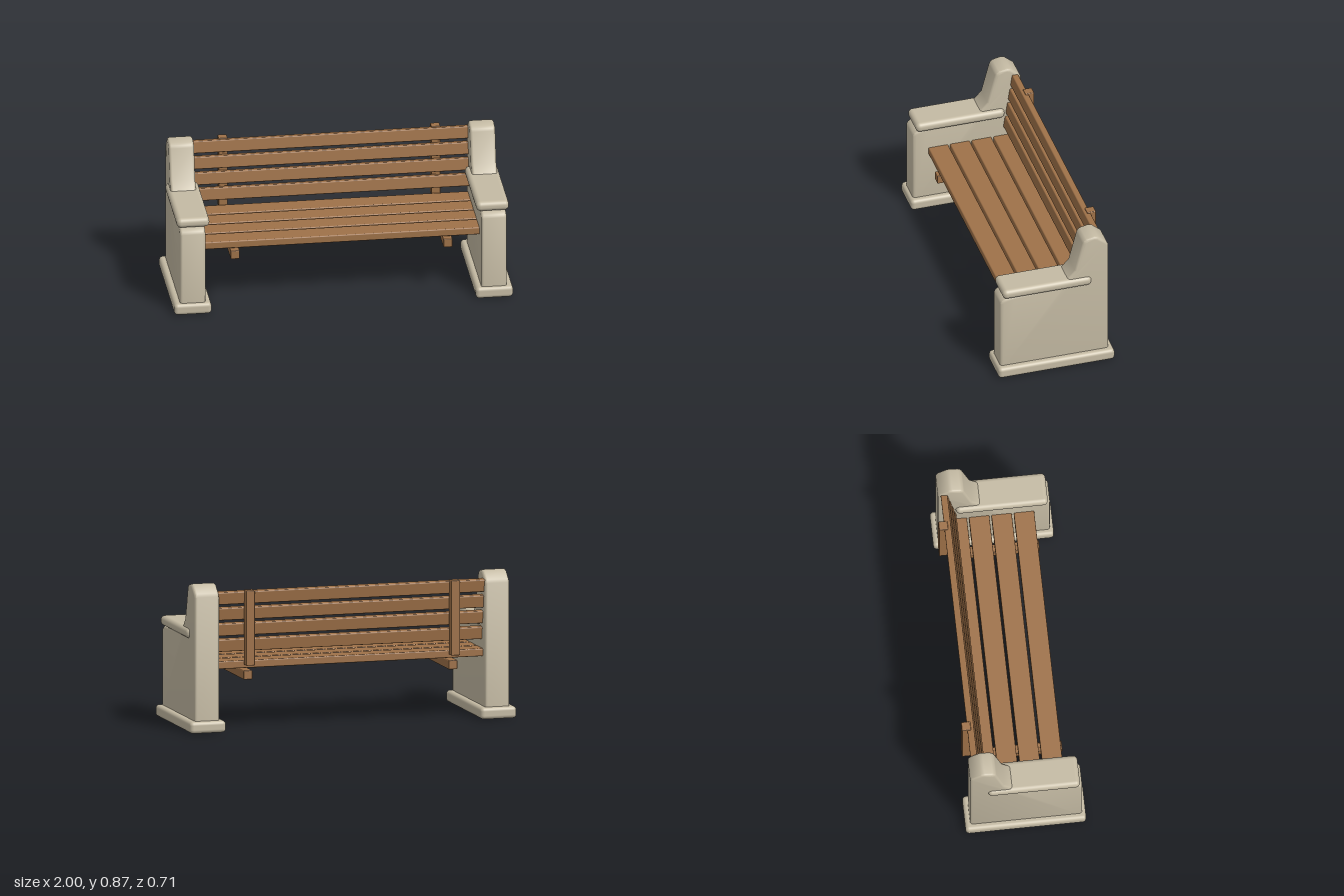
import * as THREE from 'three';
import { toCreasedNormals } from 'three/addons/utils/BufferGeometryUtils.js';
import { RoundedBoxGeometry } from 'three/addons/geometries/RoundedBoxGeometry.js';

export function createModel() {
  const bench = new THREE.Group();
  bench.name = 'bench';
  const stone = new THREE.MeshStandardMaterial({ color: 0xc4baa3 });
  stone.name = 'stone';
  const wood = new THREE.MeshStandardMaterial({ color: 0x9e7148 });
  wood.name = 'wood';

  function add(name, geometry, material, x, y, z) {
    const mesh = new THREE.Mesh(geometry, material);
    mesh.name = name;
    mesh.position.set(x, y, z);
    bench.add(mesh);
    return mesh;
  }
  const box = (w, h, d, r, segments = 3) => new RoundedBoxGeometry(w, h, d, segments, r);

  // Side panel profile, drawn as (z, y)
  const profile = [
    [0.335, 0.04], [0.335, 0.51], [0.327, 0.526], [0.305, 0.541], [0.25, 0.549],
    [-0.03, 0.56], [-0.075, 0.602], [-0.122, 0.655], [-0.169, 0.838], [-0.176, 0.853],
    [-0.192, 0.865], [-0.24, 0.875], [-0.262, 0.871], [-0.316, 0.825], [-0.325, 0.805],
    [-0.325, 0.04],
  ].reverse();
  const shape = new THREE.Shape(profile.map(([z, y]) => new THREE.Vector2(z, y)));
  const width = 0.15, bevel = 0.016;
  const raw = new THREE.ExtrudeGeometry(shape, {
    depth: width - 2 * bevel, bevelEnabled: true, bevelThickness: bevel,
    bevelSize: bevel, bevelOffset: -bevel, bevelSegments: 3,
  });
  raw.translate(0, 0, -(width / 2 - bevel));
  raw.rotateY(-Math.PI / 2);
  const panel = toCreasedNormals(raw, 0.6);

  // Stone ends and timber supports, mirrored
  const base = box(0.22, 0.07, 0.71, 0.022);
  const arm = box(0.193, 0.06, 0.542, 0.027, 4);
  const bearer = box(0.054, 0.054, 0.54, 0.005, 2);
  const backPost = box(0.054, 0.445, 0.054, 0.005, 2);
  for (const side of [-1, 1]) {
    add('base', base, stone, side * 0.89, 0.037, 0);
    add('sidePanel', panel, stone, side * 0.889, 0, 0);
    add('armrest', arm, stone, side * 0.884, 0.575, 0.05);
    add('seatBearer', bearer, wood, side * 0.628, 0.326, -0.02);
    add('backPost', backPost, wood, side * 0.628, 0.6115, -0.314);
  }

  // Seat slats, front to back
  const seatSlat = box(1.65, 0.046, 0.12, 0.007, 2);
  for (let i = 0; i < 4; i++) add('seatSlat', seatSlat, wood, 0, 0.389, 0.181 - i * 0.132);

  // Leaning backrest slats, bottom to top
  const backSlat = box(1.65, 0.075, 0.04, 0.007, 2);
  for (let i = 0; i < 4; i++) {
    const slat = add('backSlat', backSlat, wood, 0, 0.504 + i * 0.0955, -0.241 - i * 0.0145);
    slat.rotation.x = -0.15;
  }
  return bench;
}
